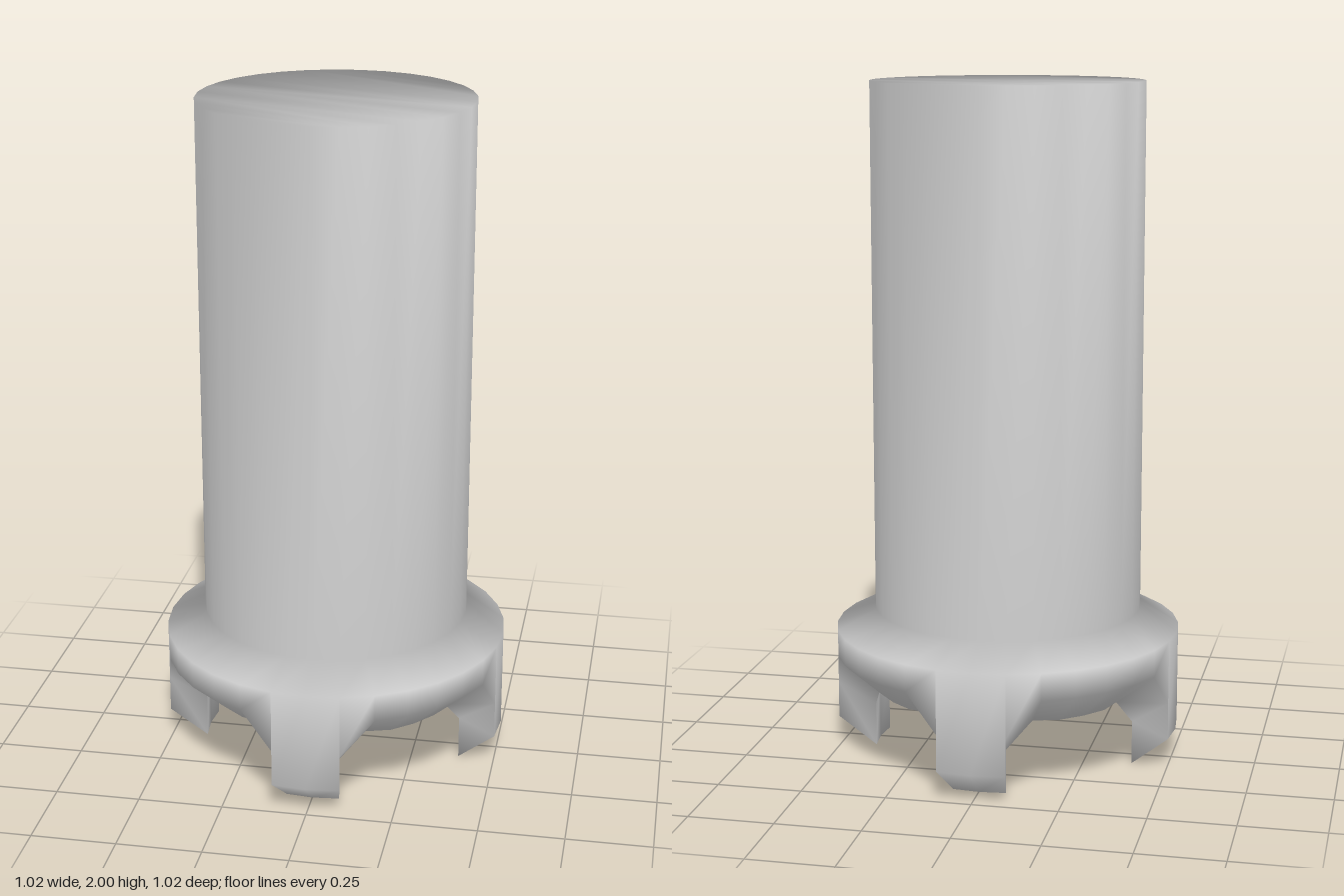
import * as THREE from 'three';
import { mergeVertices } from 'three/addons/utils/BufferGeometryUtils.js';

const SIDES = 32;
const BODY_R = 0.397, COLLAR_R = 0.512, TOP = 2, SHOULDER = 0.45, ARCH = 0.21;

// Cross-section kinds, from the top rim down the outside and up the inside: [radius, height]
const section = (outerY, bottomY, innerR = 0.4) => [
  [BODY_R, TOP], [BODY_R, SHOULDER], [COLLAR_R, 0.39],
  [COLLAR_R, outerY], [innerR, bottomY], [innerR, ARCH],
];
const FOOT = section(0.09, 0);
const SPRING = section(0.2, 0.13);        // where the arch starts, on the side of a foot
const CORNER = section(0.31, ARCH, 0.385);
const SPAN = section(0.31, ARCH);

// One quarter, as [side number, section]; the doubled sides make the upright foot walls
const QUARTER = [
  [-1, SPRING], [-1, FOOT], [0, FOOT], [1, FOOT], [1, SPRING],
  [2, CORNER], [3, SPAN], [4, SPAN], [5, SPAN], [6, CORNER],
];

function createShell() {
  const positions = [], index = [];
  const rows = FOOT.length;
  const columns = [];
  for (let q = 0; q < 4; q++) {
    for (const [side, profile] of QUARTER) columns.push([side + q * 8, profile]);
  }
  for (const [side, profile] of columns) {
    const a = (side / SIDES) * Math.PI * 2;
    for (const [r, y] of profile) positions.push(r * Math.sin(a), y, r * Math.cos(a));
  }
  // Skin between neighbouring columns
  const n = columns.length;
  for (let c = 0; c < n; c++) {
    for (let k = 0; k < rows - 1; k++) {
      const a = c * rows + k, b = ((c + 1) % n) * rows + k;
      index.push(a, a + 1, b, b, a + 1, b + 1);
    }
  }
  // Flat top, zigzagging between opposite rim points
  for (let lo = 0, hi = n - 1; lo < hi; lo++, hi--) {
    index.push(lo * rows, (lo + 1) * rows, hi * rows);
    index.push((lo + 1) * rows, (hi - 1) * rows, hi * rows);
  }
  let geometry = new THREE.BufferGeometry();
  geometry.setAttribute('position', new THREE.Float32BufferAttribute(positions, 3));
  geometry.setIndex(index);
  geometry = mergeVertices(geometry, 1e-4);
  geometry.computeVertexNormals();
  return geometry;
}

export function createModel() {
  const model = new THREE.Group();
  model.name = 'footedTube';

  // Closed tube with flared collar and four feet
  const shell = new THREE.Mesh(
    createShell(),
    new THREE.MeshStandardMaterial({ color: 0xcccccc, side: THREE.DoubleSide })
  );
  shell.name = 'tubeWithCollarAndFeet';
  model.add(shell);

  // Bore seen from below
  const height = SHOULDER - ARCH;
  const bore = new THREE.Mesh(
    new THREE.CylinderGeometry(0.396, 0.4, height, SIDES, 1, true),
    new THREE.MeshStandardMaterial({ color: 0xcccccc, side: THREE.BackSide })
  );
  bore.position.y = ARCH + height / 2;
  bore.name = 'innerWall';
  model.add(bore);

  return model;
}
